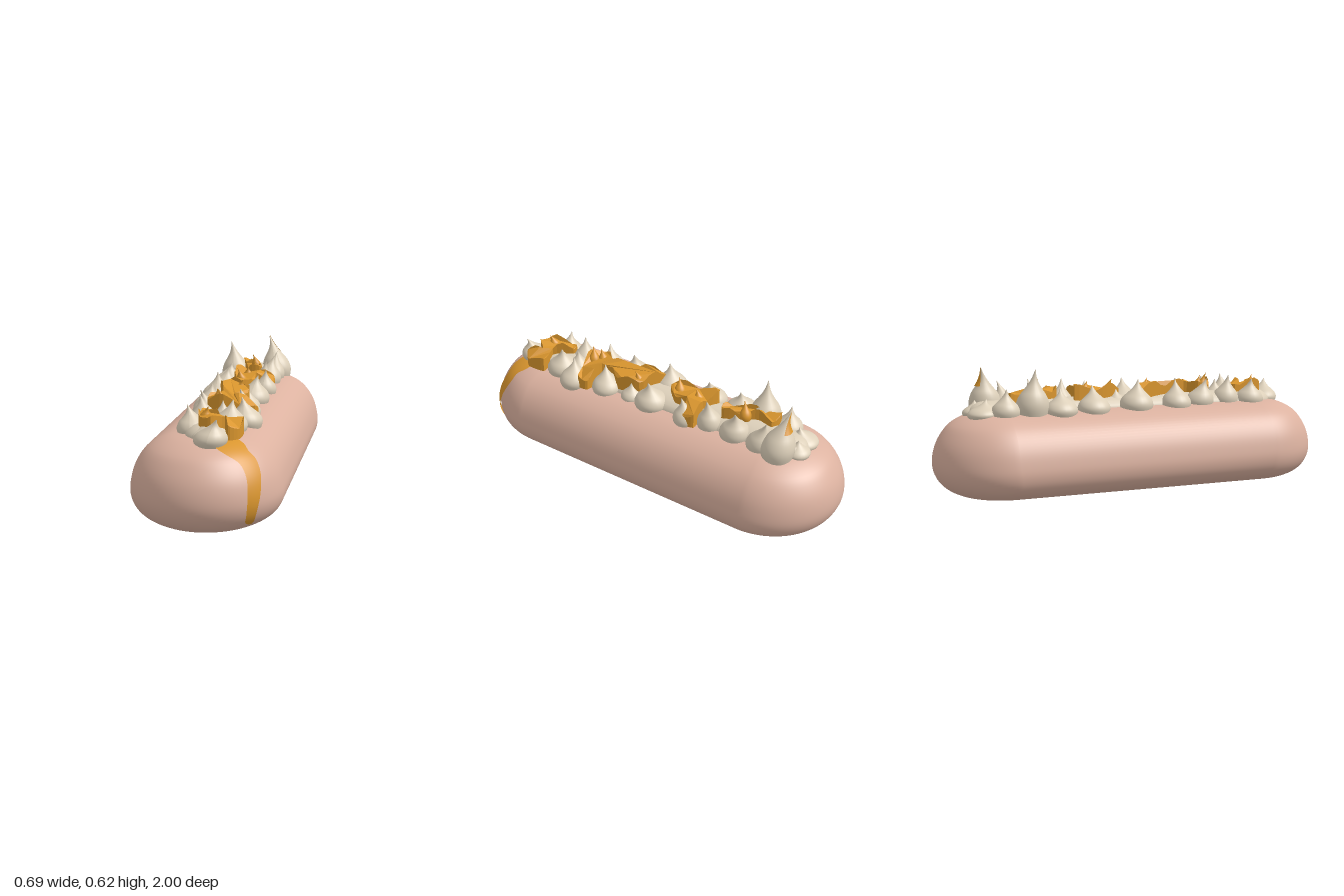
import * as THREE from 'three';

const dough = new THREE.MeshStandardMaterial({ color: 0xdcb2a0 });
dough.name = 'dough pink';
const cream = new THREE.MeshStandardMaterial({ color: 0xdccfb9 });
cream.name = 'whipped cream';
const sauce = new THREE.MeshStandardMaterial({ color: 0xda962e, side: THREE.DoubleSide });
sauce.name = 'caramel sauce';

// Bun profile: half width, half length, height
const profile = new THREE.CatmullRomCurve3([
  [0, 0.66, 0.004], [0.16, 0.82, 0.009], [0.25, 0.9, 0.03], [0.31, 0.955, 0.065],
  [0.337, 0.985, 0.105], [0.346, 1, 0.15], [0.34, 1, 0.2], [0.323, 0.985, 0.26],
  [0.293, 0.955, 0.315], [0.25, 0.915, 0.36], [0.18, 0.84, 0.398], [0.1, 0.76, 0.413], [0, 0.66, 0.418],
].map(p => new THREE.Vector3(...p))).getPoints(48);

// Stack of rounded-end outlines, one per profile point
function bunGeometry() {
  const pos = [], idx = [], n = 80;
  for (const p of profile) {
    const c = p.x * 1.03, straight = p.y - c;
    for (let j = 0; j < n; j++) {
      const t = ((j + 0.5) / n) * Math.PI * 2;
      pos.push(p.x * Math.cos(t), p.z, c * Math.sin(t) + Math.sign(Math.sin(t)) * straight);
    }
  }
  for (let i = 0; i < profile.length - 1; i++) {
    for (let j = 0; j < n; j++) {
      const k = (j + 1) % n, a = i * n + j, b = i * n + k, c = a + n, d = b + n;
      idx.push(a, c, b, b, c, d);
    }
  }
  const g = new THREE.BufferGeometry();
  g.setAttribute('position', new THREE.Float32BufferAttribute(pos, 3));
  g.setIndex(idx);
  g.computeVertexNormals();
  return g;
}

// Front-end surface point of the bun for a given x and y, lifted slightly
function onBun(x, y) {
  let i = 1;
  while (i < profile.length - 1 && profile[i].z < y) i++;
  const p = profile[i - 1], q = profile[i];
  const f = THREE.MathUtils.clamp((y - p.z) / (q.z - p.z), 0, 1);
  const w = p.x + (q.x - p.x) * f, l = p.y + (q.y - p.y) * f, c = w * 1.03;
  const z = l - c + c * Math.sqrt(Math.max(0, 1 - (x / w) ** 2));
  return [x + 0.004, y + 0.004, z + 0.007];
}

// Sauce run down the front: height, inner x, outer x
function dripGeometry() {
  const rows = new THREE.CatmullRomCurve3([
    [0.405, 0.06, 0.145], [0.39, 0.08, 0.18], [0.37, 0.125, 0.205], [0.335, 0.185, 0.243], [0.28, 0.218, 0.268],
    [0.2, 0.228, 0.273], [0.12, 0.222, 0.258], [0.08, 0.214, 0.245], [0.065, 0.222, 0.235],
  ].map(p => new THREE.Vector3(...p))).getPoints(32);
  const pos = [], idx = [], n = 6;
  rows.forEach((r, i) => {
    for (let j = 0; j <= n; j++) {
      pos.push(...onBun(r.y + (r.z - r.y) * j / n, r.x));
      if (i && j) {
        const d = i * (n + 1) + j, c = d - 1, b = d - n - 1, a = b - 1;
        idx.push(a, c, b, b, c, d);
      }
    }
  });
  const g = new THREE.BufferGeometry();
  g.setAttribute('position', new THREE.Float32BufferAttribute(pos, 3));
  g.setIndex(idx);
  g.computeVertexNormals();
  return g;
}

// Piped kiss: lathe with a pointed tip that leans by (lx, lz)
const kissShape = new THREE.SplineCurve([
  [0.9, 0], [1, 0.16], [0.98, 0.3], [0.82, 0.45], [0.56, 0.58], [0.3, 0.72], [0.12, 0.86], [0.015, 1],
].map(p => new THREE.Vector2(...p))).getPoints(20);

function kissGeometry(r, h, lx, lz, start = 0, sweep = Math.PI * 2, from = 0) {
  const pts = kissShape.slice(from).map(p => new THREE.Vector2(Math.max(0, p.x) * r, p.y * h));
  const g = new THREE.LatheGeometry(pts, 24, start, sweep);
  const a = g.attributes.position;
  for (let i = 0; i < a.count; i++) {
    const k = (a.getY(i) / h) ** 2;
    a.setX(i, a.getX(i) + lx * k);
    a.setZ(i, a.getZ(i) + lz * k);
  }
  g.computeVertexNormals();
  return g;
}

// Pool of sauce: outline in x, z extruded upward with a ragged top
function poolGeometry(outline, top) {
  const shape = new THREE.Shape();
  const curve = new THREE.CatmullRomCurve3(outline.map(([x, z]) => new THREE.Vector3(x, -z, 0)), true, 'catmullrom', 0.3);
  shape.setFromPoints(curve.getPoints(outline.length * 4).slice(0, -1).map(p => new THREE.Vector2(p.x, p.y)));
  const g = new THREE.ExtrudeGeometry(shape, { depth: top - 0.41, bevelEnabled: false });
  g.rotateX(-Math.PI / 2);
  g.translate(0, 0.41, 0);
  const a = g.attributes.position;
  for (let i = 0; i < a.count; i++) {
    if (a.getY(i) < 0.42) continue;
    const x = a.getX(i), z = a.getZ(i);
    a.setY(i, a.getY(i) + 0.018 * Math.sin(38 * x + 31 * z) - Math.max(0, Math.abs(x) - 0.05) * 0.35);
  }
  g.computeVertexNormals();
  return g;
}

export function createModel() {
  const model = new THREE.Group();
  const add = (name, geometry, material, x = 0, y = 0, z = 0) => {
    const m = new THREE.Mesh(geometry, material);
    m.name = name;
    m.position.set(x, y, z);
    model.add(m);
    return m;
  };

  add('bun', bunGeometry(), dough);
  add('sauceDrip', dripGeometry(), sauce);

  // Low cream bed joining the kisses
  const bed = new THREE.CapsuleGeometry(0.1, 1.42, 8, 20);
  bed.rotateX(Math.PI / 2);
  bed.scale(1, 0.6, 1);
  add('creamBed', bed, cream, 0.01, 0.405, -0.02);

  // Cream kisses: x, z, radius, tip height, lean x, lean z
  [
    [-0.06, -0.77, 0.075, 0.48, 0.01, 0.02], [0.03, -0.79, 0.06, 0.47, 0, 0],
    [-0.1, -0.67, 0.07, 0.53, -0.02, 0], [0.1, -0.72, 0.08, 0.62, -0.05, -0.03],
    [-0.1, -0.54, 0.08, 0.62, -0.03, 0.01], [0.09, -0.62, 0.065, 0.55, 0.02, -0.04],
    [-0.12, -0.4, 0.08, 0.52, 0.02, 0], [0.08, -0.48, 0.075, 0.55, 0.04, -0.02],
    [-0.11, -0.23, 0.08, 0.53, 0.03, 0], [0.08, -0.34, 0.062, 0.55, 0.02, 0.01],
    [-0.09, 0, 0.085, 0.55, 0, 0.01], [0.11, -0.22, 0.062, 0.53, 0.01, 0.02],
    [0.085, 0, 0.085, 0.54, 0.03, 0], [-0.01, -0.08, 0.07, 0.5, 0, 0],
    [-0.09, 0.22, 0.075, 0.54, 0.02, 0], [0.1, 0.27, 0.075, 0.53, -0.02, 0.02],
    [-0.06, 0.36, 0.075, 0.54, -0.03, 0.03], [0.14, 0.45, 0.075, 0.53, -0.02, 0.01],
    [-0.04, 0.52, 0.07, 0.55, -0.02, 0.01], [0.08, 0.57, 0.085, 0.54, 0.02, -0.01],
    [-0.06, 0.65, 0.075, 0.53, -0.03, 0], [0.04, 0.5, 0.07, 0.52, 0, 0],
    [0.02, 0.73, 0.075, 0.49, 0, 0], [0.045, 0.79, 0.075, 0.51, 0.035, 0.03],
    [0.09, 0.12, 0.055, 0.49, 0, 0],
  ].forEach(([x, z, r, top, lx, lz]) => add('creamKiss', kissGeometry(r, top - 0.39, lx, lz), cream, x, 0.39, z));

  // Sauce streak on the back of the tall rear kiss
  add('tipSauce', kissGeometry(0.085, 0.235, -0.05, -0.03, Math.PI * 0.7, Math.PI * 0.6, 12), sauce, 0.1, 0.388, -0.722);

  // Sauce pools lying between the kisses
  [
    [[[-0.08, -0.64], [0, -0.63], [-0.02, -0.55], [0.03, -0.47], [0.06, -0.39], [0, -0.39], [-0.05, -0.52]], 0.505],
    [[[-0.05, -0.31], [0.05, -0.28], [0.15, -0.29], [0.15, -0.22], [0.07, -0.2], [0.07, -0.13], [0, -0.06], [-0.04, -0.16]], 0.515],
    [[[-0.075, 0.02], [-0.02, 0.03], [0.08, 0.08], [0.1, 0.2], [0.05, 0.27], [0.06, 0.33], [0.17, 0.34], [0.17, 0.4],
      [0.03, 0.44], [-0.05, 0.42], [-0.05, 0.36], [0, 0.3], [-0.03, 0.16]], 0.52],
    [[[-0.04, 0.58], [0, 0.57], [0.06, 0.66], [0.16, 0.64], [0.165, 0.74], [0.12, 0.78], [0.09, 0.7], [0.04, 0.76], [-0.02, 0.73]], 0.51],
  ].forEach(([outline, top]) => add('saucePool', poolGeometry(outline, top), sauce));

  // Small pulled peaks of sauce
  [[0.02, 0.41, 0.56], [-0.01, 0.37, 0.55], [0.04, 0.1, 0.54], [0.01, -0.12, 0.55], [0.02, -0.24, 0.54], [0, 0.69, 0.54], [0.02, -0.5, 0.56]]
    .forEach(([x, z, top], i) => add('saucePeak', kissGeometry(0.028, top - 0.47, 0.02 * (i % 3 - 1), 0.02), sauce, x, 0.47, z));

  return model;
}
